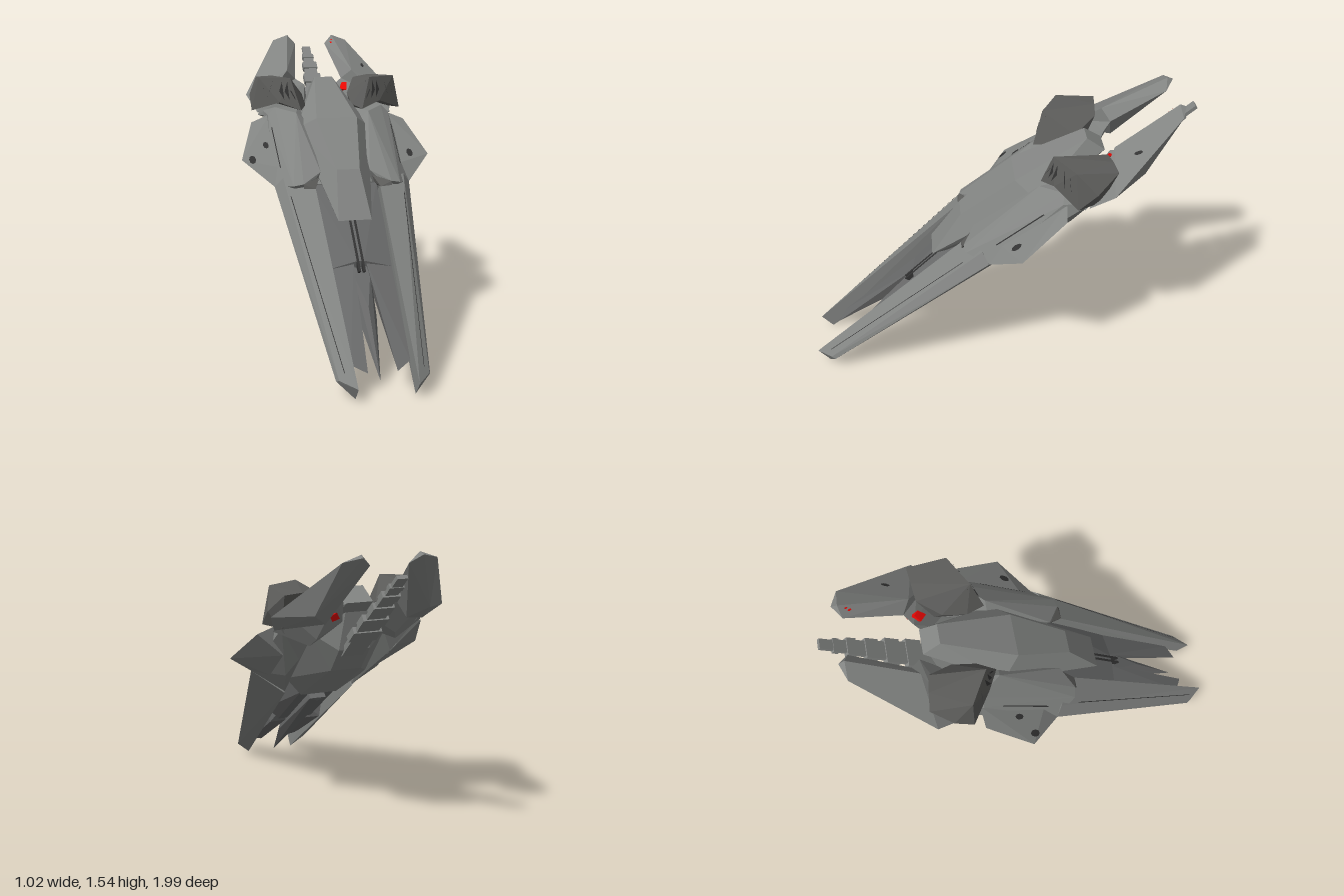
import * as THREE from 'three';
import { ConvexGeometry } from 'three/addons/geometries/ConvexGeometry.js';

const mat = (name, color) => Object.assign(new THREE.MeshStandardMaterial({ color }), { name });

export function createModel() {
  const model = new THREE.Group();
  const hullGrey = mat('hull grey', 0x828482);
  const deckGrey = mat('deck grey', 0x686969);
  const podGrey = mat('pod grey', 0x5c5c5a);
  const dark = mat('dark seam', 0x333333);
  const red = mat('red marking', 0xff0a05);
  dark.side = red.side = THREE.DoubleSide;

  // Faceted solid wrapped around its corner points
  const solid = (name, material, pts) => {
    const mesh = new THREE.Mesh(new ConvexGeometry(pts.map(p => new THREE.Vector3(...p))), material);
    mesh.name = name;
    model.add(mesh);
    return mesh;
  };
  const flip = pts => pts.map(([x, ...rest]) => [-x, ...rest]);
  const both = pts => [...pts, ...flip(pts)];
  const pair = (name, material, pts) => [
    solid(name + 'Left', material, pts),
    solid(name + 'Right', material, flip(pts)),
  ];

  // Thin marking projected from the front on to a solid; outline is in x, y
  const decal = (name, material, target, outline) => {
    const ray = new THREE.Raycaster();
    const pos = [];
    for (const [x, y] of outline) {
      ray.set(new THREE.Vector3(x, y, 3), new THREE.Vector3(0, 0, -1));
      const hit = ray.intersectObject(target)[0];
      if (!hit) return;
      pos.push(...hit.point.addScaledVector(hit.face.normal, 0.004).toArray());
    }
    const index = [];
    for (let i = 1; i < outline.length - 1; i++) index.push(0, i, i + 1);
    const geo = new THREE.BufferGeometry();
    geo.setAttribute('position', new THREE.Float32BufferAttribute(pos, 3));
    geo.setIndex(index);
    geo.computeVertexNormals();
    const mesh = new THREE.Mesh(geo, material);
    mesh.name = name;
    model.add(mesh);
  };
  const disc = (x, y, r) => Array.from({ length: 8 }, (_, i) =>
    [x + r * Math.cos(i * Math.PI / 4), y + r * Math.sin(i * Math.PI / 4)]);

  // Central spine with a faceted long roof
  solid('canopy', hullGrey, both([
    [0.05, 1.33, -0.45], [0.11, 1.14, -0.09], [0.06, 0.91, 0.185], [0.085, 0.68, 0.34],
    [0.065, 1.27, -0.54], [0.2, 1.08, -0.18], [0.07, 0.69, 0.26], [0.15, 0.95, -0.15],
  ]));

  // Belly and keel
  solid('belly', hullGrey, both([
    [0.08, 0.9, -0.37], [0.1, 0.66, 0.02], [0.08, 1.03, -0.48], [0.2, 1.11, -0.4],
    [0.22, 0.8, -0.1], [0.06, 1.22, -0.51], [0.18, 0.82, 0.08],
  ]));

  // Long outer arms, triangular towards the tips
  const arms = pair('arm', hullGrey, [
    [0.14, 0.075, 1.0], [0.14, 0.005, 0.94], [0.22, 0.08, 0.9], [0.21, 0.09, 0.92],
    [0.17, 0.84, 0.16], [0.32, 0.86, 0.09], [0.36, 0.81, 0.06], [0.19, 0.68, 0.02],
  ]);

  // Shoulders joining arms to the spine
  const shoulders = pair('shoulder', hullGrey, [
    [0.16, 0.86, 0.14], [0.23, 0.84, 0.18], [0.36, 0.81, 0.06], [0.34, 1.14, -0.3],
    [0.28, 0.83, 0.17], [0.13, 0.89, 0.12], [0.15, 1.12, -0.2],
    [0.2, 1.16, -0.2], [0.35, 1.15, -0.44], [0.15, 1.17, -0.42], [0.3, 1.18, -0.31],
    [0.25, 0.84, -0.18], [0.24, 0.97, -0.36], [0.19, 0.69, 0.02],
  ]);

  // Stub wings
  const wings = pair('wing', hullGrey, [
    [0.33, 1.14, -0.32], [0.43, 1.1, -0.31], [0.51, 0.93, -0.09], [0.36, 0.81, 0.06],
    [0.32, 0.9, 0], [0.3, 1.0, -0.14], [0.3, 0.98, -0.3], [0.3, 0.82, -0.08],
  ]);

  // Recessed deck between the arms, with two prongs and a spike on a long keel
  solid('deck', deckGrey, both([
    [0.17, 0.82, 0.1], [0.17, 0.46, 0.44], [0.02, 0.5, 0.45],
    [0.1, 0.67, 0.03], [0.1, 0.39, 0.43], [0.03, 0.82, 0.12],
  ]));
  pair('prong', deckGrey, [
    [0.17, 0.46, 0.44], [0.03, 0.5, 0.43], [0.06, 0.43, 0.5], [0.15, 0.38, 0.42],
    [0.05, 0.37, 0.45], [0.145, 0.17, 0.78], [0.14, 0.13, 0.85], [0.07, 0.1, 0.89], [0.07, 0.15, 0.83],
  ]);
  solid('spike', deckGrey, [
    ...both([[0.045, 0.45, 0.47], [0.045, 0.26, 0.6], [0.045, 0.63, 0.03], [0.04, 0.7, 0.1]]),
    [0, 0.04, 0.85], [0, 0.25, 0.56], [0, 0.61, 0.04], [0, 0.32, 0.62],
  ]);
  // Narrow twin groove under the canopy tip
  pair('deckSlot', dark, [
    [0.006, 0.7, 0.245], [0.006, 0.46, 0.495], [0.006, 0.68, 0.2], [0.006, 0.44, 0.46],
    [0.018, 0.7, 0.245], [0.018, 0.46, 0.495], [0.018, 0.68, 0.2], [0.018, 0.44, 0.46],
  ]);
  // Dark notches at the head of the deck
  pair('deckNotch', podGrey, [
    [0.14, 0.865, 0.13], [0.23, 0.84, 0.182], [0.17, 0.815, 0.19], [0.23, 0.82, 0.19],
    [0.17, 0.81, 0.12], [0.15, 0.83, 0.13],
  ]);

  // Rear fins on their roots
  const fins = pair('fin', hullGrey, [
    [0.135, 1.55, -0.87], [0.14, 1.54, -0.9], [0.22, 1.52, -0.87], [0.09, 1.5, -0.86],
    [0.19, 1.36, -0.56], [0.135, 1.31, -0.6], [0.43, 1.23, -0.53], [0.38, 1.14, -0.42],
    [0.28, 1.26, -0.7], [0.2, 1.2, -0.62],
  ]);
  pair('finRoot', hullGrey, [
    [0.09, 1.28, -0.56], [0.135, 1.31, -0.6], [0.35, 1.24, -0.5], [0.38, 1.13, -0.4],
    [0.12, 1.1, -0.42], [0.22, 1.06, -0.46], [0.2, 1.1, -0.5], [0.08, 1.18, -0.52],
  ]);

  // Angular pods on the shoulders, two halves with an arched lower edge
  const podMiddle = [[0.28, 1.21, -0.26], [0.29, 1.34, -0.3], [0.28, 1.335, -0.54], [0.28, 1.19, -0.47]];
  const podInner = pair('podInner', podGrey, [
    ...podMiddle, [0.17, 1.17, -0.21], [0.22, 1.34, -0.26], [0.19, 1.32, -0.53],
    [0.13, 1.24, -0.42], [0.13, 1.19, -0.3], [0.16, 1.16, -0.46],
  ]);
  const podOuter = pair('podOuter', podGrey, [
    ...podMiddle, [0.42, 1.16, -0.36], [0.38, 1.34, -0.35], [0.42, 1.24, -0.45],
    [0.37, 1.33, -0.55], [0.36, 1.16, -0.48],
  ]);

  // Segmented tail boom: contiguous plates [width, thickness, from, to]
  const boom = new THREE.Group();
  boom.name = 'tailBoom';
  boom.position.set(0, 1.0, -0.44);
  boom.rotation.x = Math.atan2(0.47, 0.55);
  [
    [0.11, 0.03, 0, 0.16], [0.14, 0.034, 0.16, 0.25], [0.11, 0.022, 0.25, 0.29],
    [0.125, 0.034, 0.29, 0.37], [0.09, 0.022, 0.37, 0.41], [0.1, 0.034, 0.41, 0.48],
    [0.075, 0.02, 0.48, 0.53], [0.085, 0.032, 0.53, 0.58], [0.06, 0.018, 0.58, 0.62],
    [0.068, 0.024, 0.62, 0.65], [0.05, 0.018, 0.65, 0.72],
  ].forEach(([w, h, from, to]) => {
    const mesh = new THREE.Mesh(new THREE.BoxGeometry(w, h, to - from), hullGrey);
    mesh.name = 'boomSegment';
    mesh.position.z = -(from + to) / 2;
    boom.add(mesh);
  });
  model.add(boom);

  // Seams, scorch marks and pod creases
  [1, -1].forEach((s, i) => {
    const side = pts => pts.map(([x, y]) => [s * x, y]);
    decal('armSeam', dark, arms[i], side([[0.294, 0.78], [0.298, 0.78], [0.184, 0.12], [0.181, 0.12]]));
    decal('shoulderSeam', dark, shoulders[i], side([[0.328, 1.08], [0.332, 1.08], [0.322, 0.9], [0.318, 0.9]]));
    for (const x of [0.205, 0.235, 0.262]) {
      decal('podCrease', dark, podInner[i], side([[x, 1.32], [x + 0.016, 1.27], [x - 0.008, 1.225]]));
    }
    for (const x of [0.31, 0.345]) {
      decal('podCrease', dark, podOuter[i], side([[x, 1.32], [x + 0.016, 1.27], [x + 0.03, 1.225]]));
    }
  });
  decal('scorch', dark, wings[1], disc(-0.455, 0.93, 0.018));
  decal('scorch', dark, wings[1], disc(-0.375, 0.995, 0.015));
  decal('scorch', dark, wings[0], disc(0.4, 0.94, 0.018));
  decal('scorch', dark, fins[0], disc(0.275, 1.375, 0.01));
  decal('redFleck', red, fins[0], disc(0.125, 1.505, 0.005));
  decal('redFleck', red, fins[0], disc(0.13, 1.52, 0.004));

  // Red markings inside the left fin root, front and rear
  solid('redMarkFront', red, [
    [0.11, 1.255, -0.525], [0.145, 1.25, -0.495], [0.155, 1.29, -0.53], [0.13, 1.29, -0.55],
    [0.12, 1.24, -0.54], [0.13, 1.27, -0.592],
  ]);
  solid('redMarkRear', red, [
    [0.1, 1.2, -0.54], [0.13, 1.24, -0.58], [0.16, 1.22, -0.572], [0.14, 1.19, -0.55], [0.14, 1.22, -0.52],
  ]);
  return model;
}
